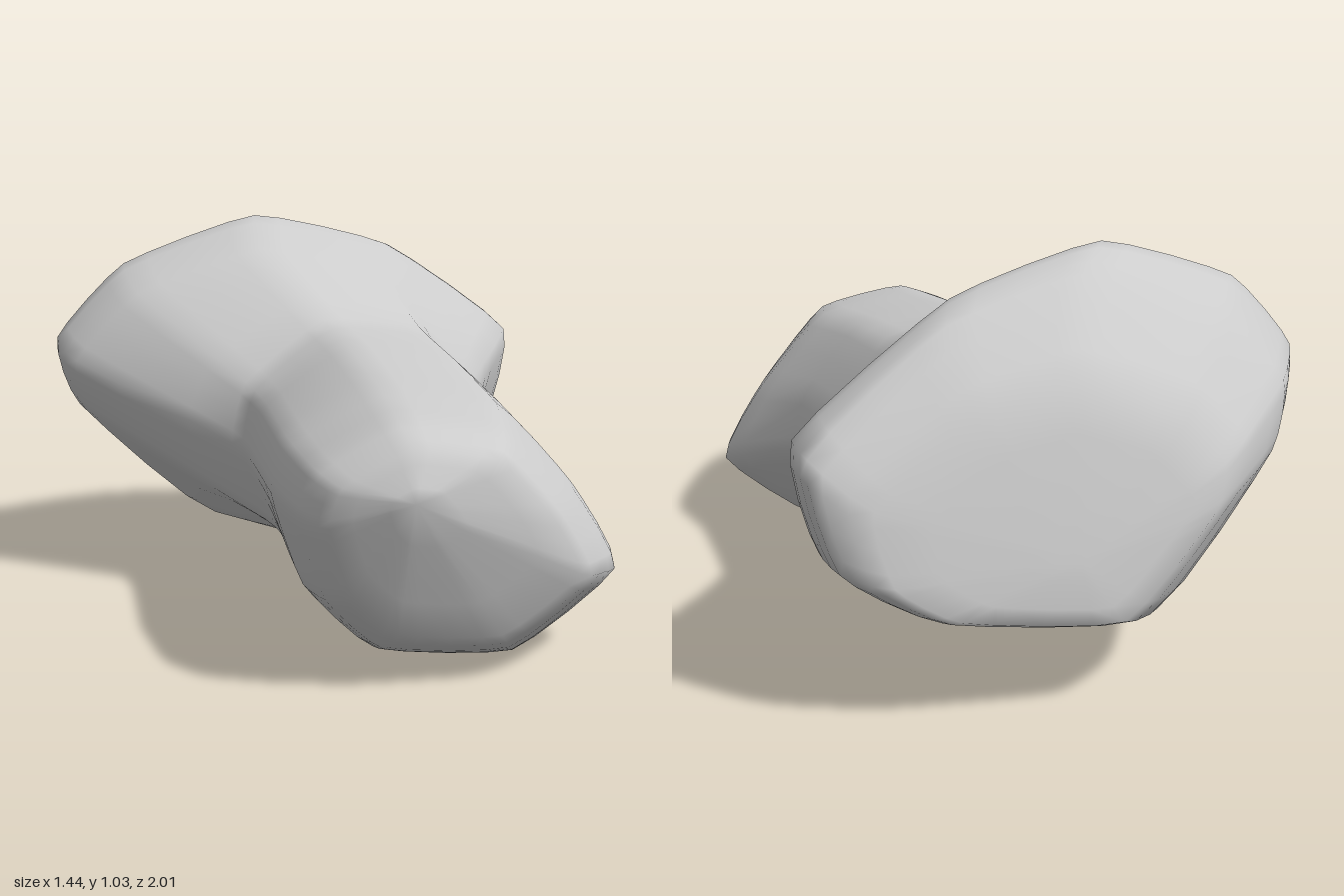
import * as THREE from 'three';
import { mergeVertices } from 'three/addons/utils/BufferGeometryUtils.js';

// Outlines as [x, y] corners: left, over the top, right, back along the underside
const knob = [[-0.21, 0.43], [-0.17, 0.57], [0.06, 0.69], [0.36, 0.64], [0.56, 0.43], [0.68, 0.21], [0.41, 0], [0.04, 0.03], [-0.13, 0.19]];
const shaft = [[-0.21, 0.42], [-0.17, 0.58], [0.05, 0.73], [0.34, 0.69], [0.5, 0.5], [0.54, 0.34], [0.36, 0.12], [0.08, 0.1], [-0.12, 0.2]];
const head = [[-0.72, 0.69], [-0.52, 0.9], [-0.12, 1.03], [0.3, 0.93], [0.71, 0.64], [0.65, 0.35], [0.4, 0.2], [-0.25, 0.13], [-0.66, 0.5]];

const AROUND = 36;
const STEPS = 3;
const ROUND = 0.22;

// Smooth ring: an outline scaled about (cx, cy), on a plane at z tilted by slopeX and slopeY
function ring(outline, z, scale = 1, cx = 0, cy = 0, slopeX = 0, slopeY = 0) {
  const corners = outline.map(([px, py]) => {
    const x = cx + (px - cx) * scale;
    const y = cy + (py - cy) * scale;
    return new THREE.Vector3(x, y, z + slopeX * x + slopeY * (y - 0.5));
  });
  const curve = new THREE.CatmullRomCurve3(corners, true, 'catmullrom', ROUND);
  return curve.getPoints(AROUND).slice(0, AROUND);
}

// All points of a ring gathered in one tip
function tip(x, y, z) {
  return Array.from({ length: AROUND }, () => new THREE.Vector3(x, y, z));
}

// Smooth skin through the rings, from the front tip to the back tip
function loft(rings) {
  const rows = (rings.length - 1) * STEPS;
  const strands = rings[0].map((_, j) =>
    new THREE.CatmullRomCurve3(rings.map((r) => r[j]), false, 'catmullrom', ROUND).getPoints(rows));
  const positions = [];
  const index = [];
  for (let i = 0; i <= rows; i++) {
    for (let j = 0; j < AROUND; j++) {
      positions.push(...strands[j][i].toArray());
      if (i === rows) continue;
      const a = i * AROUND + j;
      const b = i * AROUND + (j + 1) % AROUND;
      const c = a + AROUND;
      const d = b + AROUND;
      if (i > 0) index.push(a, b, c);
      if (i < rows - 1) index.push(b, d, c);
    }
  }
  const geometry = new THREE.BufferGeometry();
  geometry.setAttribute('position', new THREE.Float32BufferAttribute(positions, 3));
  geometry.setIndex(index);
  const welded = mergeVertices(geometry, 1e-5);
  welded.computeVertexNormals();
  return welded;
}

export function createModel() {
  const model = new THREE.Group();
  model.name = 'boneFragment';
  const skin = loft([
    // rounded front knob
    tip(0.07, 0.49, 1),
    ring(knob, 0.93, 0.7, 0.1, 0.4, -0.08, 0.15),
    ring(knob, 0.82, 0.88, 0.05, 0.4, -0.1, 0.1),
    ring(knob, 0.58),
    // shaft, widening towards the head
    ring(shaft, 0.2),
    ring(shaft, -0.05, 1.04, 0.8, -0.2, -0.38),
    // wide slanted head with a sloping back
    ring(head, -0.38, 0.9, -0.2, 0.2, -0.2, 0.15),
    ring(head, -0.53, 1, 0, 0, -0.22),
    ring(head, -0.79, 0.88, 0.65, 0.6, -0.12, 0.3),
    ring(head, -0.94, 0.6, 0.37, 0.37, 0, 0.25),
    tip(0.1, 0.38, -0.99),
  ]);
  const bone = new THREE.Mesh(skin, new THREE.MeshStandardMaterial({ color: 0xcccccc }));
  bone.name = 'bone';
  model.add(bone);
  return model;
}
